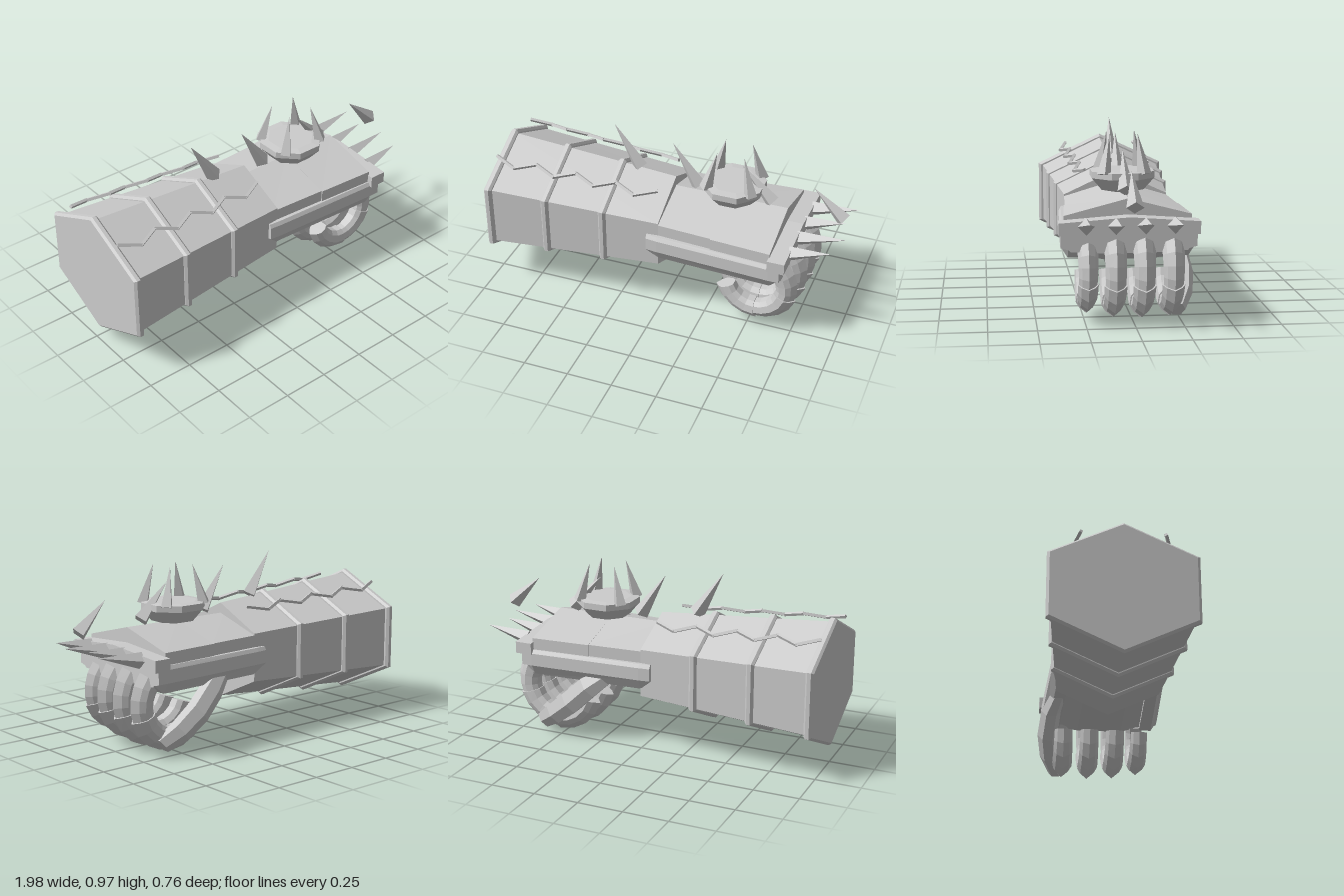
import * as THREE from 'three';

const steel = new THREE.MeshStandardMaterial({ color: 0xcccccc, flatShading: true });
steel.name = 'steel';
const V = (x, y, z) => new THREE.Vector3(x, y, z);

// Skin a row of equal-length rings, capped at both ends, facing outward
function loft(rings) {
  const n = rings[0].length, tris = [];
  const add = (a, b, c) => tris.push([a, b, c]);
  for (let i = 0; i + 1 < rings.length; i++) {
    for (let j = 0; j < n; j++) {
      const k = (j + 1) % n, p = rings[i], q = rings[i + 1];
      add(p[j], p[k], q[k]);
      add(p[j], q[k], q[j]);
    }
  }
  const cap = (ring, flip) => {
    const mid = V(0, 0, 0);
    ring.forEach(p => mid.addScaledVector(p, 1 / n));
    ring.forEach((p, j) => {
      const q = ring[(j + 1) % n];
      if (flip) add(mid, q, p); else add(mid, p, q);
    });
  };
  cap(rings[0], true);
  cap(rings[rings.length - 1], false);
  const origin = rings[0][0], sub = p => p.clone().sub(origin);
  let volume = 0;
  for (const [a, b, c] of tris) volume += sub(a).dot(sub(b).cross(sub(c)));
  const pts = tris.flatMap(([a, b, c]) => (volume < 0 ? [a, c, b] : [a, b, c]));
  const g = new THREE.BufferGeometry().setFromPoints(pts);
  g.computeVertexNormals();
  return g;
}

export function createModel() {
  const root = new THREE.Group();
  root.name = 'gauntlet';
  const body = new THREE.Group();
  body.name = 'armour';
  body.position.z = 0.03;
  root.add(body);

  const part = (name, geometry, parent = body) => {
    const m = new THREE.Mesh(geometry, steel);
    m.name = name;
    parent.add(m);
    return m;
  };
  const between = (mesh, a, b) => {
    mesh.position.copy(a).add(b).multiplyScalar(0.5);
    mesh.quaternion.setFromUnitVectors(V(0, 1, 0), b.clone().sub(a).normalize());
  };
  const spike = (name, base, tip, r) =>
    between(part(name, new THREE.ConeGeometry(r, base.distanceTo(tip), 4)), base, tip);
  // A [z, y] outline placed at x, with its width scaled by w
  const at = (x, outline, w = 1) => outline.map(([z, y]) => V(x, y, z * w));

  // Hexagonal forearm with three raised bands
  const hex = (x, ry, rz) => [0, 1, 2, 3, 4, 5].map(i => {
    const a = i * Math.PI / 3;
    return V(x, 0.452 + ry * Math.cos(a), rz / 0.866 * Math.sin(a));
  });
  part('forearm', loft([hex(-0.995, 0.34, 0.358), hex(0, 0.265, 0.285)]));
  for (const [x, ry, rz] of [[-0.977, 0.36, 0.38], [-0.647, 0.335, 0.352], [-0.317, 0.31, 0.326]]) {
    part('forearmBand', loft([[-0.022, 0.014], [-0.01, 0], [0.01, 0], [0.022, 0.014]]
      .map(([dx, d]) => hex(x + dx, ry - d, rz - d))));
  }

  // Floating zigzag wires over the forearm
  for (const s of [1, -1]) {
    const pts = [];
    for (let i = 0; i <= 8; i++) {
      const t = i / 8, zig = i % 2 ? 1 : -1;
      pts.push(V(-0.98 + 0.93 * t, 0.745 - 0.045 * t - 0.013 * zig, s * (0.235 - 0.045 * t + 0.022 * zig)));
    }
    for (let i = 0; i < 8; i++) {
      const len = pts[i].distanceTo(pts[i + 1]) + 0.008;
      between(part('zigzagWire', new THREE.CylinderGeometry(0.011, 0.011, len, 4)), pts[i], pts[i + 1]);
    }
  }

  // Palm block with a faceted underside
  const palm = [[-0.32, 0.51], [0.32, 0.51], [0.34, 0.46], [0.3, 0.4], [0.13, 0.348],
    [-0.13, 0.348], [-0.3, 0.4], [-0.34, 0.46]];
  part('palm', loft([at(0, palm, 0.92), at(0.64, palm), at(0.7, palm.map(([z, y]) => [z, Math.max(y, 0.39)]))]));

  // Gabled back of the hand in two plates
  const roof = [[-0.325, 0.505], [0.325, 0.505], [0.325, 0.575], [0, 0.66], [-0.325, 0.575]];
  part('rearHandPlate', loft([at(-0.03, roof, 0.87), at(0.305, roof, 0.93)]));
  part('frontHandPlate', loft([at(0.305, roof, 0.95), at(0.64, roof, 1.01)]));

  // Rails along both edges of the hand
  for (const s of [1, -1]) {
    const rail = [[0.24, 0.51], [0.335, 0.51], [0.348, 0.49], [0.348, 0.42], [0.31, 0.36], [0.24, 0.36]]
      .map(([z, y]) => [z * s, y]);
    part('sideRail', loft([
      at(-0.063, rail.map(([z, y]) => [z, Math.max(y, 0.41)]), 0.89), at(0, rail, 0.91),
      at(0.64, rail), at(0.7, rail.map(([z, y]) => [z, Math.max(y, 0.41)]))]));
  }

  // Knuckle bar and its spikes
  const bar = [[-0.36, 0.487], [0, 0.5], [0.36, 0.487], [0.36, 0.552], [0, 0.578], [-0.36, 0.552]];
  part('knuckleBar', loft([at(0.635, bar), at(0.73, bar)]));
  [[0.22, 0.94], [0.07, 0.985], [-0.08, 0.945], [-0.23, 0.985]].forEach(([z, x]) =>
    spike('knuckleSpike', V(0.725, 0.533, z), V(x, 0.58, z), 0.044));

  // Row of backswept spikes along the centre line
  for (const [bx, by, tx, ty] of [[-0.21, 0.74, -0.36, 0.978], [0.13, 0.695, -0.02, 0.928],
    [0.55, 0.685, 0.375, 0.875], [0.945, 0.662, 0.775, 0.82]]) {
    spike('ridgeSpike', V(bx, by, 0), V(tx, ty, 0), 0.045);
  }

  // Octagonal crown with four spikes
  const profile = [[0, 0.64], [0.12, 0.665], [0.178, 0.73], [0.178, 0.765], [0.13, 0.77], [0, 0.77]]
    .map(([r, y]) => new THREE.Vector2(r, y));
  const crown = part('crown', new THREE.LatheGeometry(profile, 8, Math.PI / 8));
  crown.position.x = 0.333;
  for (const sx of [1, -1]) for (const sz of [1, -1]) {
    spike('crownSpike', V(0.333 + sx * 0.125, 0.755, sz * 0.105), V(0.333 + sx * 0.075, 0.967, sz * 0.073), 0.038);
  }

  // Curled fingers, three overlapping ridged plates each
  const section = [[0.268, 0], [0.238, 0.036], [0.208, 0.053], [0.165, 0.045], [0.14, 0.025],
    [0.14, -0.025], [0.165, -0.045], [0.208, -0.053], [0.238, -0.036]];
  const fingerRing = (deg, grow) => {
    const a = deg * Math.PI / 180;
    return section.map(([r, z]) => {
      const q = 0.2 + (r - 0.2) * grow;
      return V(q * Math.cos(a), q * Math.sin(a), z * grow);
    });
  };
  for (const [z, size, name] of [[0.21, 0.88, 'littleFinger'], [0.07, 0.98, 'ringFinger'],
    [-0.077, 1.01, 'middleFinger'], [-0.225, 0.98, 'indexFinger']]) {
    const finger = new THREE.Group();
    finger.name = name;
    finger.position.set(0.525 + (1 - size) * 0.1, 0.288, z);
    finger.scale.set(size, size, Math.min(1, size + 0.03));
    body.add(finger);
    for (const [from, to] of [[42, -22], [-18, -92], [-88, -163]]) {
      const rings = [];
      for (let i = 0; i <= 4; i++) rings.push(fingerRing(from + (to - from) * i / 4, 1.1 - 0.035 * i));
      part('fingerPlate', loft(rings), finger);
    }
  }

  // Thumb reaching under the palm
  const path = [[0.19, 0.42, -0.25, 0.05], [0.31, 0.33, -0.3, 0.07], [0.42, 0.225, -0.315, 0.072],
    [0.53, 0.135, -0.3, 0.066], [0.62, 0.07, -0.26, 0.052]];
  const along = V(0.77, -0.63, 0).normalize(), across = V(0, 0, 1), up = across.clone().cross(along);
  part('thumb', loft(path.map(([x, y, z, r]) => [0, 1, 2, 3, 4, 5].map(i => {
    const a = i * Math.PI / 3;
    return V(x, y, z).addScaledVector(across, 0.8 * r * Math.cos(a)).addScaledVector(up, r * Math.sin(a));
  }))));

  return root;
}
